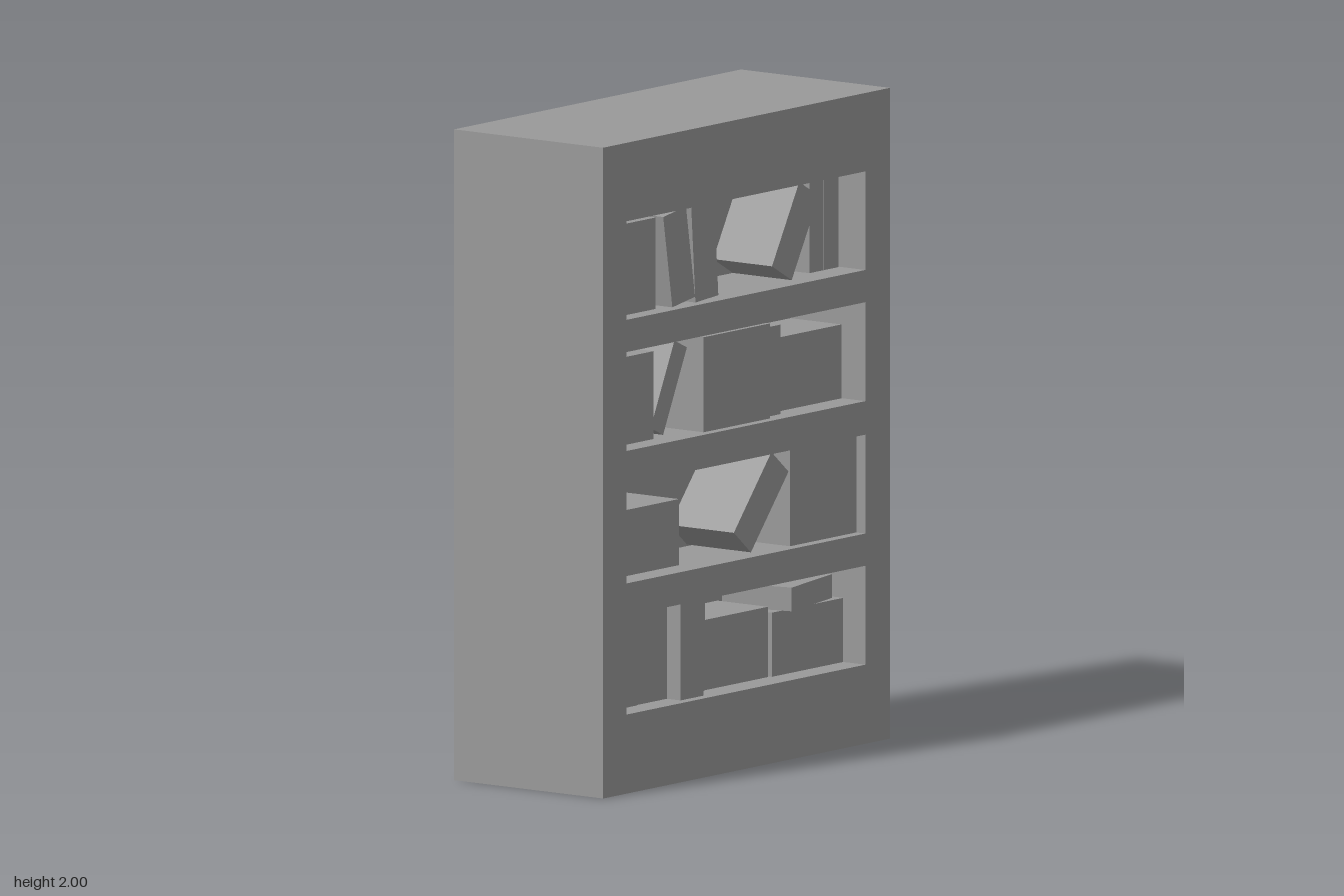
import * as THREE from 'three';

const FRONT = 0.285; // front plane of the case; recesses end at z = 0
const material = new THREE.MeshStandardMaterial({ color: 0x999999 });

function addMesh(parent, geometry, name) {
  const mesh = new THREE.Mesh(geometry, material);
  mesh.name = name;
  parent.add(mesh);
  return mesh;
}

// Book standing on the edge from (x0, y0) to (x1, y1), set back from the front
function addBook(parent, [x0, y0, x1, y1, height, setback], name) {
  const depth = FRONT - setback;
  const geometry = new THREE.BoxGeometry(Math.hypot(x1 - x0, y1 - y0), height, depth);
  geometry.translate(0, height / 2, depth / 2);
  const book = addMesh(parent, geometry, name);
  book.position.set((x0 + x1) / 2, (y0 + y1) / 2, 0);
  book.rotation.z = Math.atan2(y1 - y0, x1 - x0);
}

// Each shelf: floor, ceiling, upright books [left, right, top, setback],
// leaning books [x0, y0, x1, y1, height, setback]
const SHELVES = [
  {
    floor: 0.243, ceiling: 0.547,
    upright: [
      [-0.587, -0.514, 0.53, 0.08], [-0.512, -0.441, 0.53, 0.08], [-0.439, -0.286, 0.53, 0.085],
      [-0.285, -0.172, 0.54, 0.033], [-0.164, -0.093, 0.529, 0.088],
      [-0.092, 0.226, 0.459, 0.092], [0.237, 0.592, 0.44, 0.085],
    ],
    leaning: [],
  },
  {
    floor: 0.646, ceiling: 0.95,
    upright: [[-0.597, -0.225, 0.849, 0.085], [0.262, 0.592, 0.946, 0.035]],
    leaning: [[-0.011, 0.722, 0.074, 0.651, 0.292, 0.04]],
  },
  {
    floor: 1.053, ceiling: 1.357,
    upright: [
      [-0.587, -0.367, 1.323, 0.073], [-0.174, 0.156, 1.345, 0.03],
      [0.158, 0.241, 1.328, 0.055], [0.244, 0.59, 1.28, 0.09],
    ],
    leaning: [[-0.36, 1.084, -0.298, 1.055, 0.28, 0.09]],
  },
  {
    floor: 1.456, ceiling: 1.759,
    upright: [[-0.597, -0.379, 1.737, 0.056], [0.44, 0.511, 1.737, 0.098], [0.513, 0.585, 1.737, 0.098]],
    leaning: [
      [-0.33, 1.457, -0.217, 1.475, 0.287, 0.03],
      [-0.215, 1.457, -0.101, 1.465, 0.295, 0.03],
      [0.205, 1.511, 0.303, 1.456, 0.277, 0.06],
    ],
  },
];

function rectangle(PathType, x0, y0, x1, y1) {
  return new PathType([[x0, y0], [x1, y0], [x1, y1], [x0, y1]].map(([x, y]) => new THREE.Vector2(x, y)));
}

export function createModel() {
  const model = new THREE.Group();
  model.name = 'bookcase';

  // Solid rear half and the front half with four openings
  addMesh(model, new THREE.BoxGeometry(1.428, 2, FRONT).translate(0, 1, -FRONT / 2), 'caseBack');
  const front = rectangle(THREE.Shape, -0.714, 0, 0.714, 2);
  for (const { floor, ceiling } of SHELVES) {
    front.holes.push(rectangle(THREE.Path, -0.597, floor, 0.592, ceiling));
  }
  addMesh(model, new THREE.ExtrudeGeometry(front, { depth: FRONT, bevelEnabled: false }), 'caseFrame');

  // Books, shelf by shelf from the bottom
  SHELVES.forEach(({ floor, upright, leaning }, i) => {
    const row = new THREE.Group();
    row.name = `shelfBooks${i + 1}`;
    for (const [left, right, top, setback] of upright) {
      addBook(row, [left, floor, right, floor, top - floor, setback], 'uprightBook');
    }
    for (const spec of leaning) addBook(row, spec, 'leaningBook');
    model.add(row);
  });

  // Book lying askew on the lowest shelf, its front left corner at the pivot
  const lying = addMesh(model, new THREE.BoxGeometry(0.282, 0.073, 0.235).translate(0.141, 0, -0.1175), 'lyingBook');
  lying.position.set(0.294, 0.4765, 0.232);
  lying.rotation.y = 0.21;

  return model;
}
